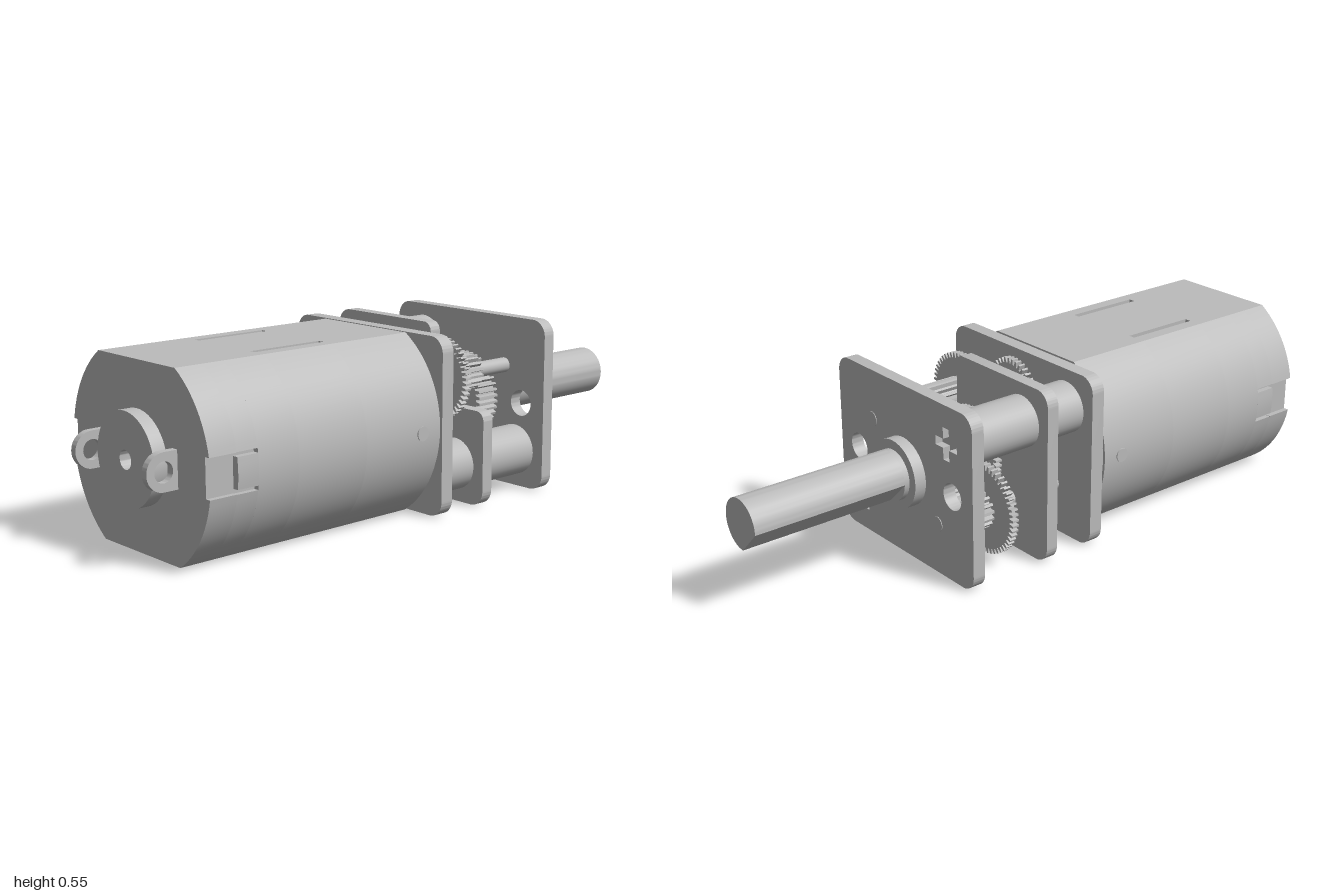
import * as THREE from 'three';
import { toCreasedNormals } from 'three/addons/utils/BufferGeometryUtils.js';

const R = 0.33, H = 0.275; // can radius and half height

export function createModel() {
  const model = new THREE.Group();
  const unit = new THREE.Group(); // everything is built around the motor axis
  unit.name = 'gearMotor';
  unit.position.y = H;
  model.add(unit);
  const metal = new THREE.MeshStandardMaterial({ color: 0xbcbcbc });
  metal.name = 'grey metal';

  const add = (name, geo, parent = unit) => {
    const mesh = new THREE.Mesh(geo, metal);
    mesh.name = name;
    parent.add(mesh);
    return mesh;
  };
  // Extrude an x-y shape between two z positions
  const slab = (name, shape, z0, z1, parent) => {
    const geo = new THREE.ExtrudeGeometry(shape, { depth: Math.abs(z1 - z0), bevelEnabled: false, curveSegments: 24 });
    geo.translate(0, 0, Math.min(z0, z1));
    return add(name, toCreasedNormals(geo, 0.45), parent);
  };
  const rod = (name, x, y, r, z0, z1, parent) => {
    const geo = new THREE.CylinderGeometry(r, r, Math.abs(z1 - z0), 40);
    geo.rotateX(Math.PI / 2).translate(x, y, (z0 + z1) / 2);
    return add(name, geo, parent);
  };
  const circle = (x, y, r) => new THREE.Path().absarc(x, y, r, 0, Math.PI * 2, true);

  // Motor can outline: two flats, two arcs, with optional side and flat slots
  const canShape = (sideSlots = [], flatSlot = null, k = 1) => {
    const half = [];
    const flat = s => {
      const pts = [];
      if (flatSlot) {
        const [a, b, d] = flatSlot;
        pts.push([a, s * H], [a, s * (H - d)], [b, s * (H - d)], [b, s * H]);
      }
      return pts;
    };
    const arc = (y0, y1) => {
      const a0 = Math.asin(y0 / R), a1 = Math.asin(y1 / R);
      const n = Math.max(2, Math.ceil((a1 - a0) / 0.07));
      for (let i = 0; i <= n; i++) {
        const a = a0 + (a1 - a0) * i / n;
        half.push([R * Math.cos(a), R * Math.sin(a)]);
      }
    };
    half.push(...flat(-1));
    let y = -H;
    for (const [y0, y1, x] of sideSlots) {
      arc(y, y0);
      half.push([x, y0], [x, y1]);
      y = y1;
    }
    arc(y, H);
    half.push(...flat(1).reverse());
    const mirrored = half.map(([px, py]) => [-px, py]).reverse();
    return new THREE.Shape([...half, ...mirrored].map(([px, py]) => new THREE.Vector2(px * k, py * k)));
  };

  // Motor can in lengthwise sections
  const can = new THREE.Group();
  can.name = 'motorCan';
  unit.add(can);
  const vent = [0.12, 0.142, 0.012];
  slab('canShoulder', canShape([], null, 0.975), 0.045, 0.06, can);
  slab('canFront', canShape(), 0.06, 0.35, can);
  slab('canVented', canShape([], vent), 0.35, 0.6, can);
  slab('canMiddle', canShape(), 0.6, 0.74, can);
  slab('canSlits', canShape([[-0.058, -0.045, 0.308], [0.045, 0.058, 0.308]]), 0.74, 0.81, can);
  slab('canNotched', canShape([[-0.057, 0.057, 0.308]]), 0.81, 0.9, can);
  for (const s of [-1, 1]) {
    const dimple = add('canDimple', new THREE.CylinderGeometry(0.022, 0.022, 0.006, 24), can);
    dimple.rotation.z = Math.PI / 2;
    dimple.position.set(s * R, 0, 0.13);
  }

  // Bearing cap with its centre hole
  const cap = new THREE.Shape().absarc(0, 0, 0.138, 0, Math.PI * 2);
  cap.holes.push(circle(0, 0, 0.028));
  slab('bearingCap', cap, 0.9, 0.943);

  // Solder terminals: round-ended tabs with an eye
  for (const s of [-1, 1]) {
    const tab = new THREE.Shape();
    tab.moveTo(0.89, -0.055);
    tab.lineTo(0.945, -0.055);
    tab.absarc(0.945, 0, 0.055, -Math.PI / 2, Math.PI / 2);
    tab.lineTo(0.89, 0.055);
    tab.holes.push(circle(0.945, 0, 0.03));
    const geo = new THREE.ExtrudeGeometry(tab, { depth: 0.022, bevelEnabled: false, curveSegments: 20 });
    geo.translate(0, 0, -0.011).rotateY(-Math.PI / 2).translate(s * 0.173, 0, 0);
    add('terminal', toCreasedNormals(geo, 0.45));
  }

  // Rounded gearbox plates
  const plate = notch => {
    const s = new THREE.Shape(), c = 0.05, q = Math.PI / 2;
    s.absarc(-R + c, -H + c, c, 2 * q, 3 * q);
    s.absarc(R - c, -H + c, c, 3 * q, 4 * q);
    if (notch) {
      const nx = 0.1, ny = 0.025;
      s.absarc(R - 0.03, ny - 0.03, 0.03, 0, q);
      s.absarc(nx + 0.03, ny + 0.03, 0.03, 3 * q, 2 * q, true);
      s.absarc(nx - 0.03, H - 0.03, 0.03, 0, q);
    } else s.absarc(R - c, H - c, c, 0, q);
    s.absarc(-R + c, H - c, c, q, 2 * q);
    return s;
  };
  slab('motorPlate', plate(false), 0.05, 0.005);
  slab('middlePlate', plate(true), -0.128, -0.168);
  const outer = plate(false);
  const posts = [[-0.21, 0.155], [0.21, -0.155]];
  for (const s of [-1, 1]) outer.holes.push(circle(s * 0.235, 0, 0.042));
  const w = 0.014, l = 0.05;
  const cross = [[w, l], [w, w], [l, w], [l, -w], [w, -w], [w, -l], [-w, -l], [-w, -w], [-l, -w], [-l, w], [-w, w], [-w, l]];
  for (const [x, y] of posts) {
    outer.holes.push(new THREE.Path(cross.map(([a, b]) => new THREE.Vector2(x + a, y + b))));
    rod('spacerPost', x, y, 0.081, 0.01, -0.42);
  }
  slab('outputPlate', outer, -0.403, -0.445);

  // Gear train: x, y, radius, teeth, z range
  const gear = (name, x, y, r, teeth, z0, z1) => {
    const pts = [], depth = Math.min(0.016, r * 0.24);
    for (let i = 0; i < teeth; i++) {
      for (const [f, rr] of [[0, r - depth], [0.3, r - depth], [0.45, r], [0.8, r]]) {
        const a = (i + f) / teeth * Math.PI * 2;
        pts.push(new THREE.Vector2(x + rr * Math.cos(a), y + rr * Math.sin(a)));
      }
    }
    slab(name, new THREE.Shape(pts), z0, z1);
  };
  gear('motorPinion', 0, 0, 0.052, 14, 0.005, -0.065);
  gear('firstGear', 0, 0.155, 0.103, 36, -0.018, -0.04);
  gear('firstPinion', 0, 0.155, 0.055, 16, -0.04, -0.115);
  gear('secondGear', 0.16, 0.115, 0.13, 48, -0.092, -0.116);
  gear('secondPinion', 0.16, 0.115, 0.055, 16, -0.116, -0.25);
  gear('thirdGear', 0, 0, 0.14, 50, -0.185, -0.207);
  gear('thirdPinion', 0, 0, 0.053, 16, -0.172, -0.28);
  gear('fourthGear', -0.16, -0.115, 0.145, 52, -0.255, -0.278);
  gear('fourthPinion', -0.16, -0.115, 0.06, 16, -0.278, -0.395);
  gear('outputGear', 0, 0, 0.142, 44, -0.31, -0.395);

  // Axles, with ends just showing in the output plate
  rod('centreAxle', 0, 0, 0.025, 0.01, -0.4);
  rod('firstAxle', 0, 0.155, 0.022, 0.01, -0.13);
  for (const s of [-1, 1]) rod('sideAxle', s * 0.16, s * 0.115, 0.024, 0.01, -0.447);

  // Output bushing and D-shaped shaft
  rod('bushing', 0, 0, 0.108, -0.44, -0.483);
  rod('shaftCollar', 0, 0, 0.079, -0.48, -0.5);
  const mid = Math.PI * 1.25, cut = Math.acos(0.74);
  const dShape = new THREE.Shape().absarc(0, 0, 0.079, mid + cut, mid - cut + Math.PI * 2);
  slab('outputShaft', dShape, -0.5, -1);

  return model;
}
